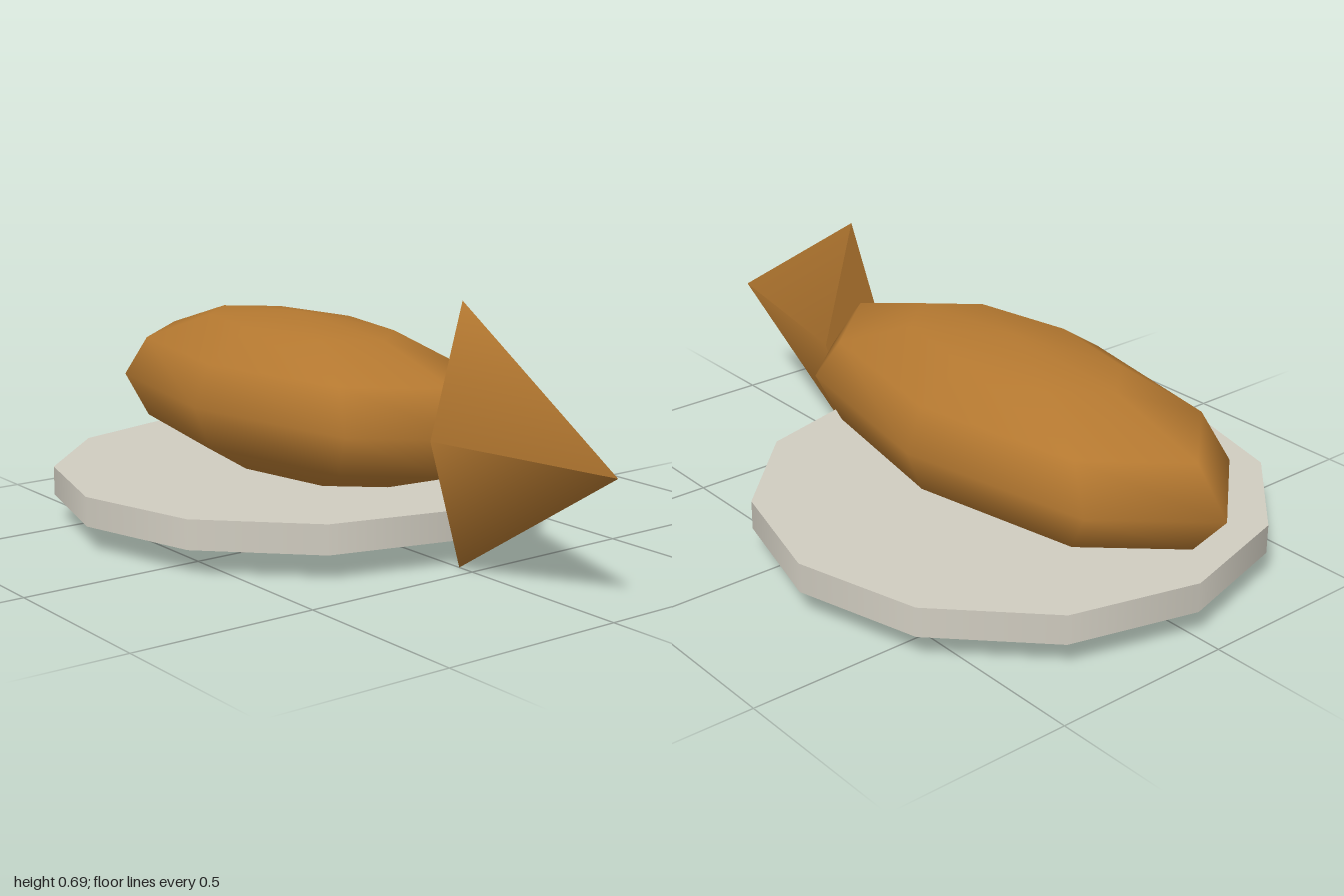
import * as THREE from 'three';

const fishBrown = new THREE.MeshStandardMaterial({ color: 0xb47830 });
fishBrown.name = 'fishBrown';
const plateGrey = new THREE.MeshStandardMaterial({ color: 0xd0ccc0 });
plateGrey.name = 'plateGrey';

function addPart(group, name, geometry, material, x, y, z) {
  const mesh = new THREE.Mesh(geometry, material);
  mesh.name = name;
  mesh.position.set(x, y, z);
  group.add(mesh);
  return mesh;
}

export function createModel() {
  const group = new THREE.Group();
  group.name = 'fishOnPlate';

  // Round twelve-sided plate
  addPart(group, 'plate', new THREE.CylinderGeometry(0.688, 0.688, 0.08, 12), plateGrey, 0, 0.112, -0.242);

  // Long, low-poly body
  const body = new THREE.SphereGeometry(1, 8, 6).scale(0.35, 0.23, 0.758);
  addPart(group, 'body', body, fishBrown, 0, 0.345, -0.242);

  // Flat four-sided tail, narrowing towards the front
  const tail = new THREE.ConeGeometry(0.344, 0.55, 4).rotateX(Math.PI / 2).scale(0.29, 1, 1);
  addPart(group, 'tail', tail, fishBrown, 0, 0.345, 0.725);

  return group;
}
